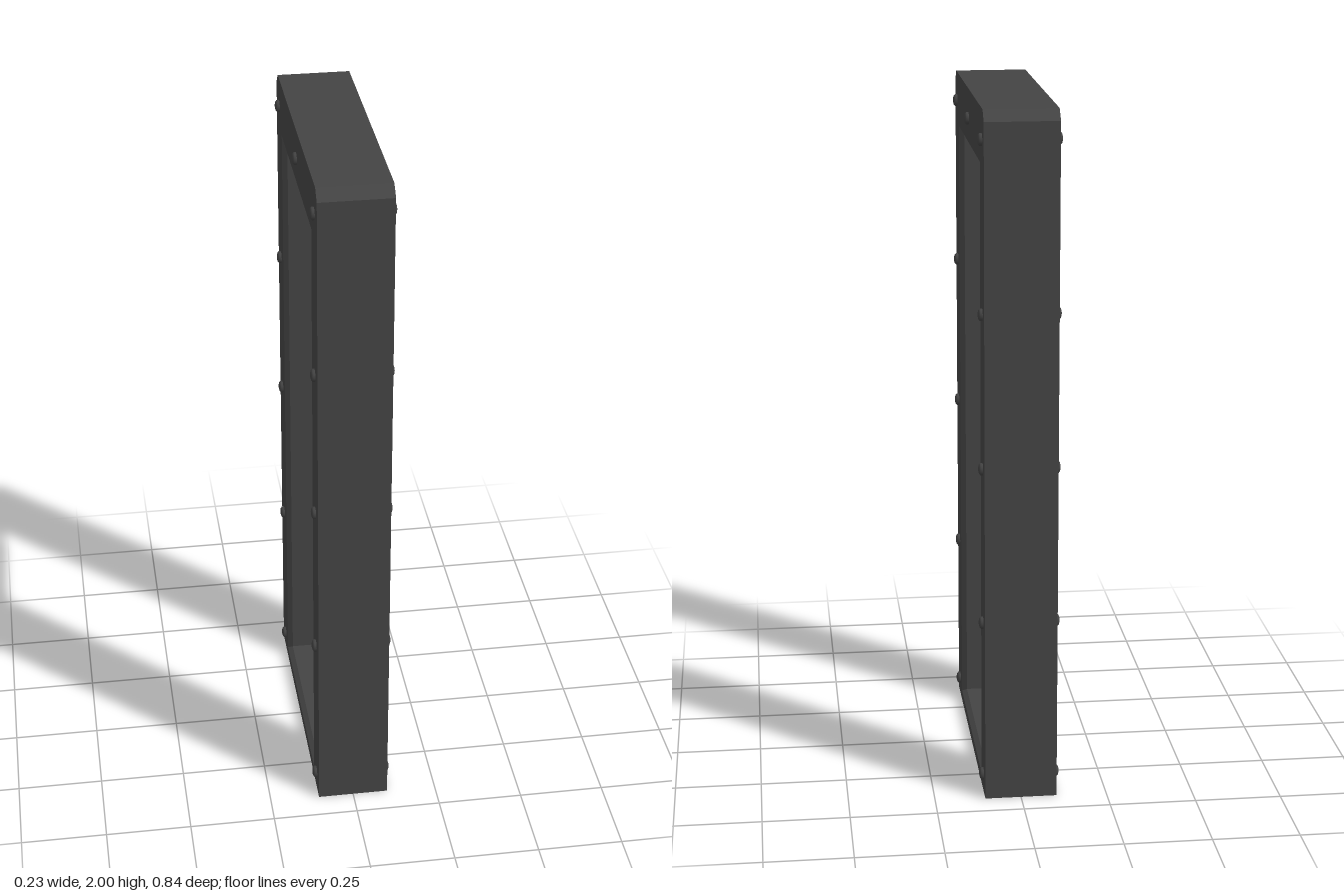
import * as THREE from 'three';

const HALF_X = 0.104, HALF_Z = 0.42, TOP = 2, CHAMFER = 0.03;
const OPENING = { z: 0.312, bottom: 0.03, top: 1.846 };
const INSET = 0.009, BEVEL = 0.015;

// Corners of the opening as [z, y], shrunk by d
function corners(d) {
  const z = OPENING.z - d, b = OPENING.bottom + d, t = OPENING.top - d;
  return [[z, b], [z, t], [-z, t], [-z, b]];
}

// Outer casing: upright rectangle with clipped top corners and an opening
function casingGeometry() {
  const shape = new THREE.Shape([
    [-HALF_Z, 0], [HALF_Z, 0], [HALF_Z, TOP - CHAMFER], [HALF_Z - CHAMFER, TOP],
    [CHAMFER - HALF_Z, TOP], [-HALF_Z, TOP - CHAMFER],
  ].map(([x, y]) => new THREE.Vector2(x, y)));
  shape.holes.push(new THREE.Path(corners(0).map(([x, y]) => new THREE.Vector2(x, y))));
  const geometry = new THREE.ExtrudeGeometry(shape, { depth: 2 * HALF_X, bevelEnabled: false });
  return geometry.translate(0, 0, -HALF_X).rotateY(Math.PI / 2);
}

// Jamb lining: four inward walls with a small bevel at both faces
function liningGeometry() {
  const rings = [[-HALF_X, 0], [-HALF_X + BEVEL, INSET], [HALF_X - BEVEL, INSET], [HALF_X, 0]]
    .map(([x, d]) => corners(d).map(([z, y]) => [x, y, z]));
  const positions = [];
  for (let i = 0; i < 3; i++) {
    for (let c = 0; c < 4; c++) {
      const n = (c + 1) % 4;
      const [p, q, r, s] = [rings[i][c], rings[i][n], rings[i + 1][n], rings[i + 1][c]];
      positions.push(...p, ...q, ...r, ...p, ...r, ...s);
    }
  }
  const geometry = new THREE.BufferGeometry();
  geometry.setAttribute('position', new THREE.Float32BufferAttribute(positions, 3));
  geometry.computeVertexNormals();
  return geometry;
}

export function createModel() {
  const model = new THREE.Group();
  model.name = 'doorFrame';
  const metal = new THREE.MeshStandardMaterial({ color: 0x444444 });
  metal.name = 'darkMetal';

  const add = (name, geometry) => {
    const mesh = new THREE.Mesh(geometry, metal);
    mesh.name = name;
    model.add(mesh);
    return mesh;
  };
  add('casing', casingGeometry());
  add('jambLining', liningGeometry());

  // Rivets: low domed heads up both jambs and one over the opening
  const rivet = new THREE.LatheGeometry(
    [[0.018, -0.002], [0.018, 0.006], [0.014, 0.01], [0.007, 0.012], [0, 0.012]]
      .map(([r, y]) => new THREE.Vector2(r, y)), 12);
  const spots = [[0.01, 1.915]];
  for (const y of [0.055, 0.525, 0.985, 1.43, 1.915]) spots.push([0.365, y], [-0.365, y]);
  for (const side of [1, -1]) {
    for (const [z, y] of spots) {
      const mesh = add(side > 0 ? 'leftRivet' : 'rightRivet', rivet);
      mesh.position.set(side * HALF_X, y, z);
      mesh.rotation.z = -side * Math.PI / 2;
    }
  }
  return model;
}
